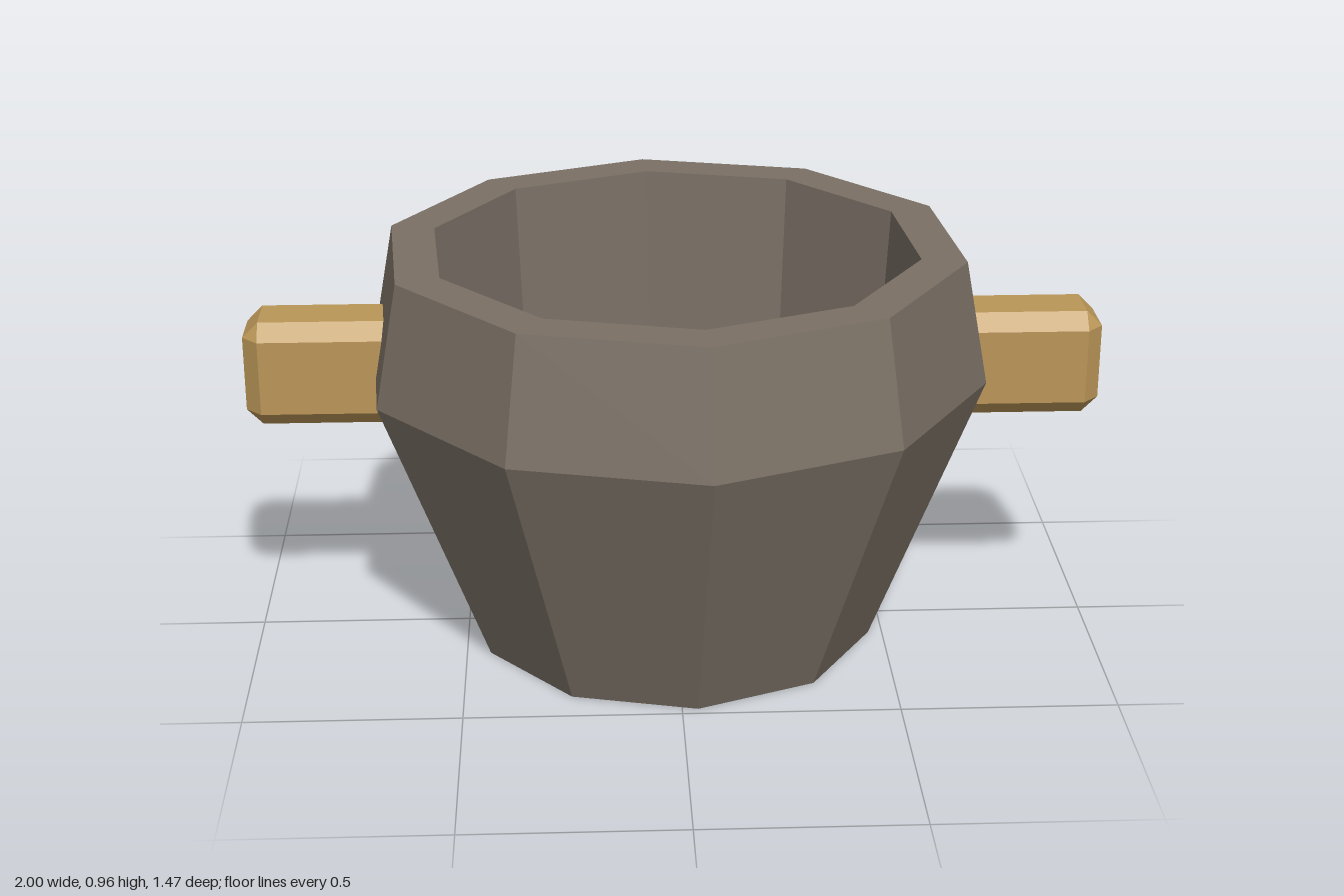
import * as THREE from 'three';
import { ConvexGeometry } from 'three/addons/geometries/ConvexGeometry.js';

// Box with every edge cut off at 45 degrees
function chamferedBox(w, h, d, c) {
  const points = [];
  for (const sx of [-1, 1]) for (const sy of [-1, 1]) for (const sz of [-1, 1]) {
    const x = w / 2, y = h / 2, z = d / 2;
    points.push(
      new THREE.Vector3(sx * x, sy * (y - c), sz * (z - c)),
      new THREE.Vector3(sx * (x - c), sy * y, sz * (z - c)),
      new THREE.Vector3(sx * (x - c), sy * (y - c), sz * z),
    );
  }
  return new ConvexGeometry(points);
}

export function createModel() {
  const group = new THREE.Group();
  const iron = new THREE.MeshStandardMaterial({ color: 0x7a7065 });
  iron.name = 'greyIron';
  const wood = new THREE.MeshStandardMaterial({ color: 0xba9658 });
  wood.name = 'tanWood';

  // Ten-sided hollow pot: base, shoulder, rim, inner wall, floor
  const profile = [
    [0, 0], [0.48, 0], [0.735, 0.67], [0.68, 0.96],
    [0.575, 0.96], [0.53, 0.2], [0, 0.2],
  ].map(([r, y]) => new THREE.Vector2(r, y));
  const potGeometry = new THREE.LatheGeometry(profile, 10, THREE.MathUtils.degToRad(4.4)).toNonIndexed();
  potGeometry.computeVertexNormals();
  const pot = new THREE.Mesh(potGeometry, iron);
  pot.name = 'pot';
  group.add(pot);

  // A chamfered grip on each side, set into the wall
  for (const [side, name] of [[1, 'leftHandle'], [-1, 'rightHandle']]) {
    const handle = new THREE.Mesh(chamferedBox(0.37, 0.252, 0.19, 0.037), wood);
    handle.position.set(side * 0.815, 0.675, 0);
    handle.name = name;
    group.add(handle);
  }
  return group;
}
